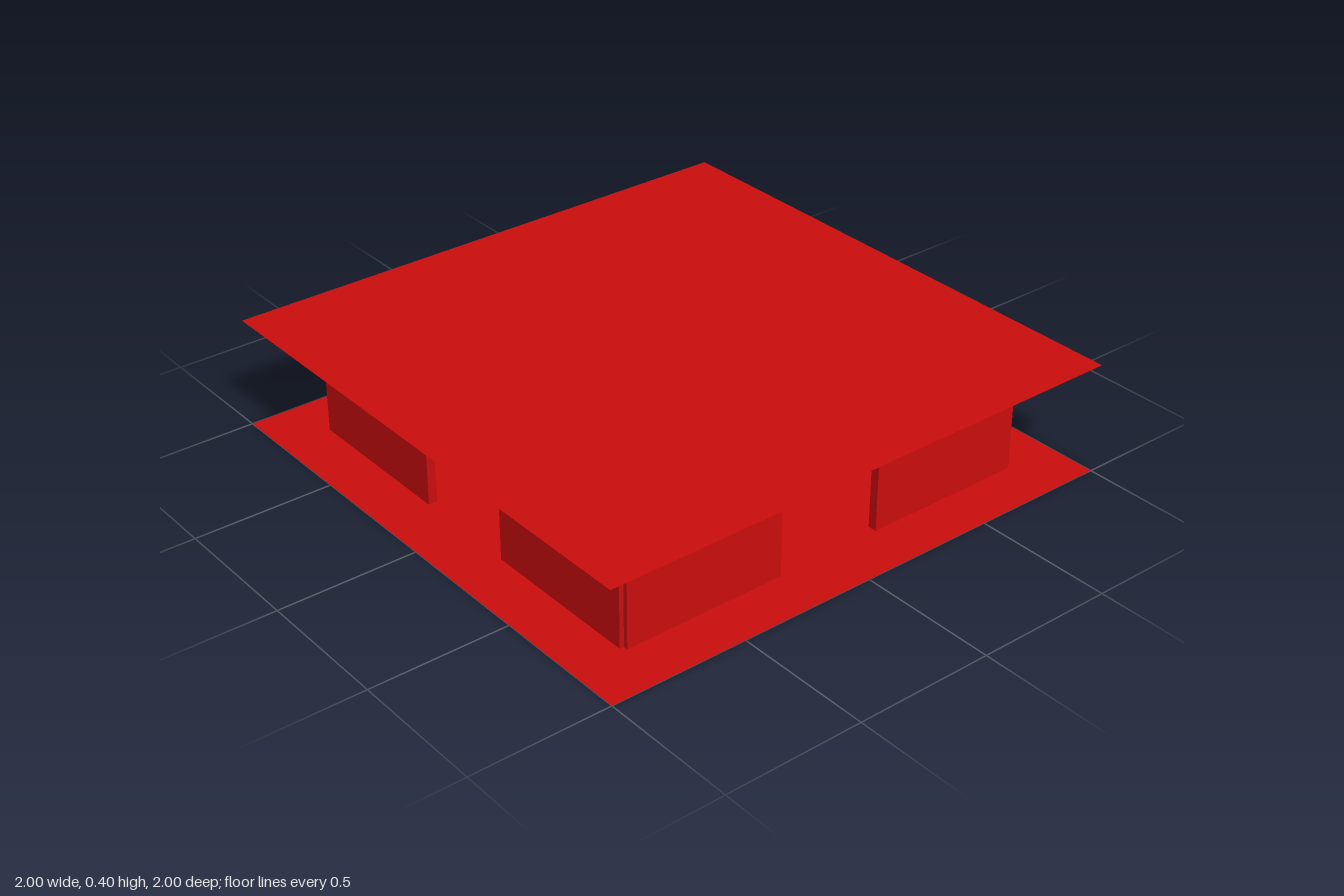
import * as THREE from 'three';

export function createModel() {
  const group = new THREE.Group();
  const red = new THREE.MeshStandardMaterial({ color: 0xcc0d0d, side: THREE.DoubleSide });
  red.name = 'red';

  const H = 0.4, R = 0.8, T = 0.032, DOOR = 0.2, DOOR_TOP = 0.32;

  function add(name, geometry, parent = group) {
    const mesh = new THREE.Mesh(geometry, red);
    mesh.name = name;
    parent.add(mesh);
    return mesh;
  }

  // Floor and overhanging flat roof: sheets without thickness
  for (const [name, y] of [['floor', 0], ['roof', H]]) {
    add(name, new THREE.PlaneGeometry(2, 2).rotateX(-Math.PI / 2)).position.y = y;
  }

  // Four equal walls, each with a doorway in the middle
  const outline = new THREE.Shape([
    [-R, 0], [-DOOR, 0], [-DOOR, DOOR_TOP], [DOOR, DOOR_TOP],
    [DOOR, 0], [R, 0], [R, H], [-R, H],
  ].map(([x, y]) => new THREE.Vector2(x, y)));
  const wall = new THREE.ExtrudeGeometry(outline, { depth: T, bevelEnabled: false });
  wall.translate(0, 0, R - T / 2);
  ['frontWall', 'leftWall', 'backWall', 'rightWall'].forEach((name, i) => {
    add(name, wall).rotation.y = i * Math.PI / 2;
  });

  // Low cross-shaped block in the middle of the room
  const cross = new THREE.Group();
  cross.name = 'centreCross';
  group.add(cross);
  const a = 0.04, b = 0.2;
  const plus = new THREE.Shape([
    [-a, -b], [a, -b], [a, -a], [b, -a], [b, a], [a, a],
    [a, b], [-a, b], [-a, a], [-b, a], [-b, -a], [-a, -a],
  ].map(([x, y]) => new THREE.Vector2(x, y)));
  const block = new THREE.ExtrudeGeometry(plus, { depth: 0.2, bevelEnabled: false });
  add('crossBlock', block.rotateX(-Math.PI / 2), cross);

  return group;
}
